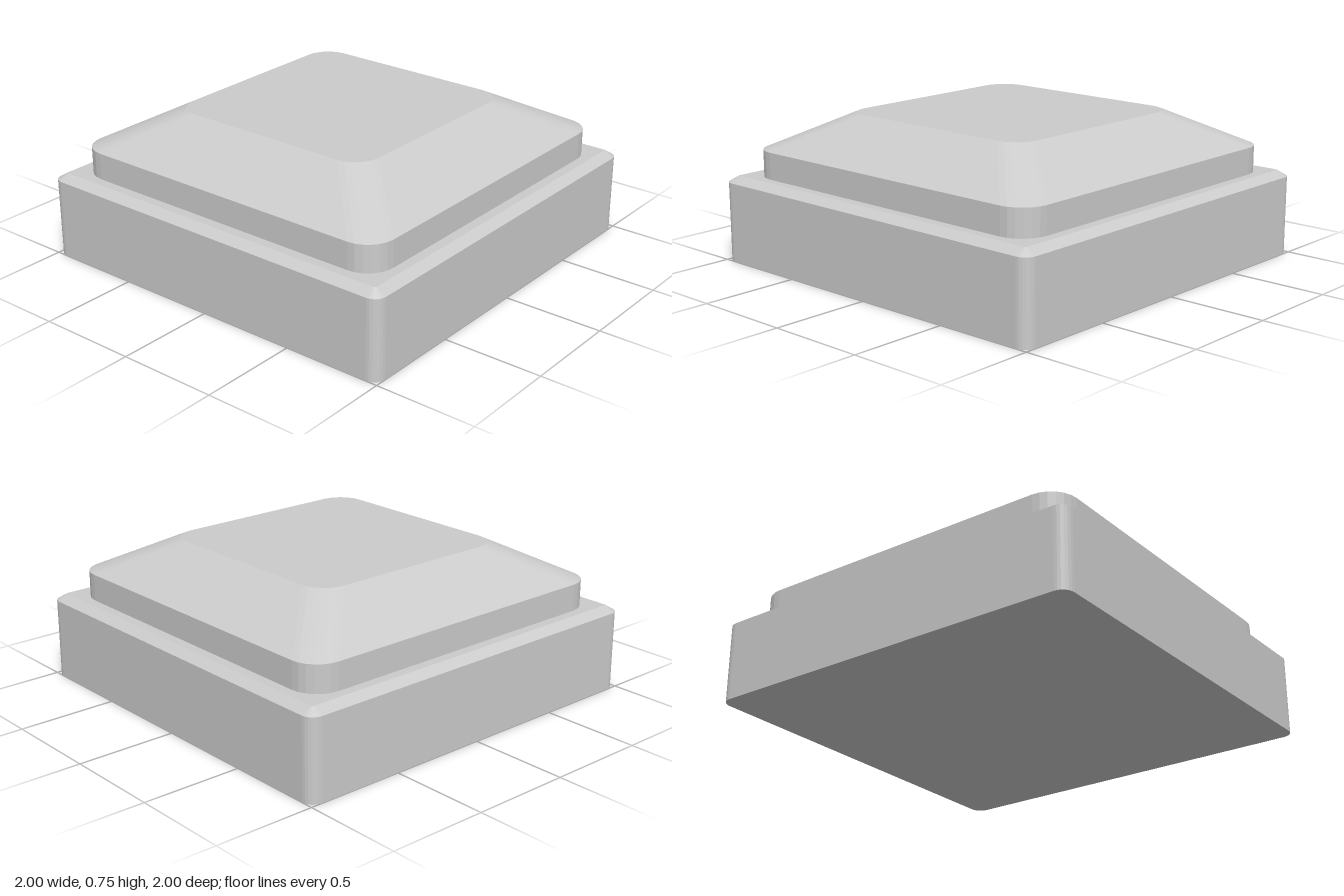
import * as THREE from 'three';

const CORNER_STEPS = 6;

// Rounded-square outline at height y: half width h, corner radius r
function ring({ y, h, r }) {
  const points = [];
  for (let corner = 0; corner < 4; corner++) {
    const mid = (corner + 0.5) * Math.PI / 2;
    const cx = Math.sign(Math.cos(mid)) * (h - r);
    const cz = Math.sign(Math.sin(mid)) * (h - r);
    for (let i = 0; i <= CORNER_STEPS; i++) {
      const a = (corner + i / CORNER_STEPS) * Math.PI / 2;
      points.push(new THREE.Vector3(cx + r * Math.cos(a), y, cz + r * Math.sin(a)));
    }
  }
  return points;
}

// Closed solid through a stack of rounded-square sections, bottom to top
function loft(name, sections, material) {
  const rings = sections.map(ring);
  const n = rings[0].length;
  const last = rings.length - 1;
  const bottom = new THREE.Vector3(0, sections[0].y, 0);
  const top = new THREE.Vector3(0, sections[last].y, 0);
  const corners = [];
  for (let i = 0; i < n; i++) {
    const j = (i + 1) % n;
    for (let k = 0; k < last; k++) {
      const low = rings[k], up = rings[k + 1];
      corners.push(low[i], up[i], low[j], up[i], up[j], low[j]);
    }
    corners.push(bottom, rings[0][i], rings[0][j]);
    corners.push(top, rings[last][j], rings[last][i]);
  }
  const geometry = new THREE.BufferGeometry().setFromPoints(corners);
  geometry.computeVertexNormals();
  const mesh = new THREE.Mesh(geometry, material);
  mesh.name = name;
  return mesh;
}

export function createModel() {
  const model = new THREE.Group();
  model.name = 'squareButton';
  const material = new THREE.MeshStandardMaterial({ color: 0xcccccc, flatShading: true });

  // Square plinth with a shallow chamfer round its top edge
  model.add(loft('base', [
    { y: 0, h: 1, r: 0.06 },
    { y: 0.4, h: 1, r: 0.06 },
    { y: 0.43, h: 0.95, r: 0.01 },
  ], material));

  // Raised cap: upright rim, sloping sides and a flat top
  model.add(loft('cap', [
    { y: 0.42, h: 0.9, r: 0.14 },
    { y: 0.565, h: 0.9, r: 0.14 },
    { y: 0.745, h: 0.57, r: 0.13 },
  ], material));

  return model;
}
